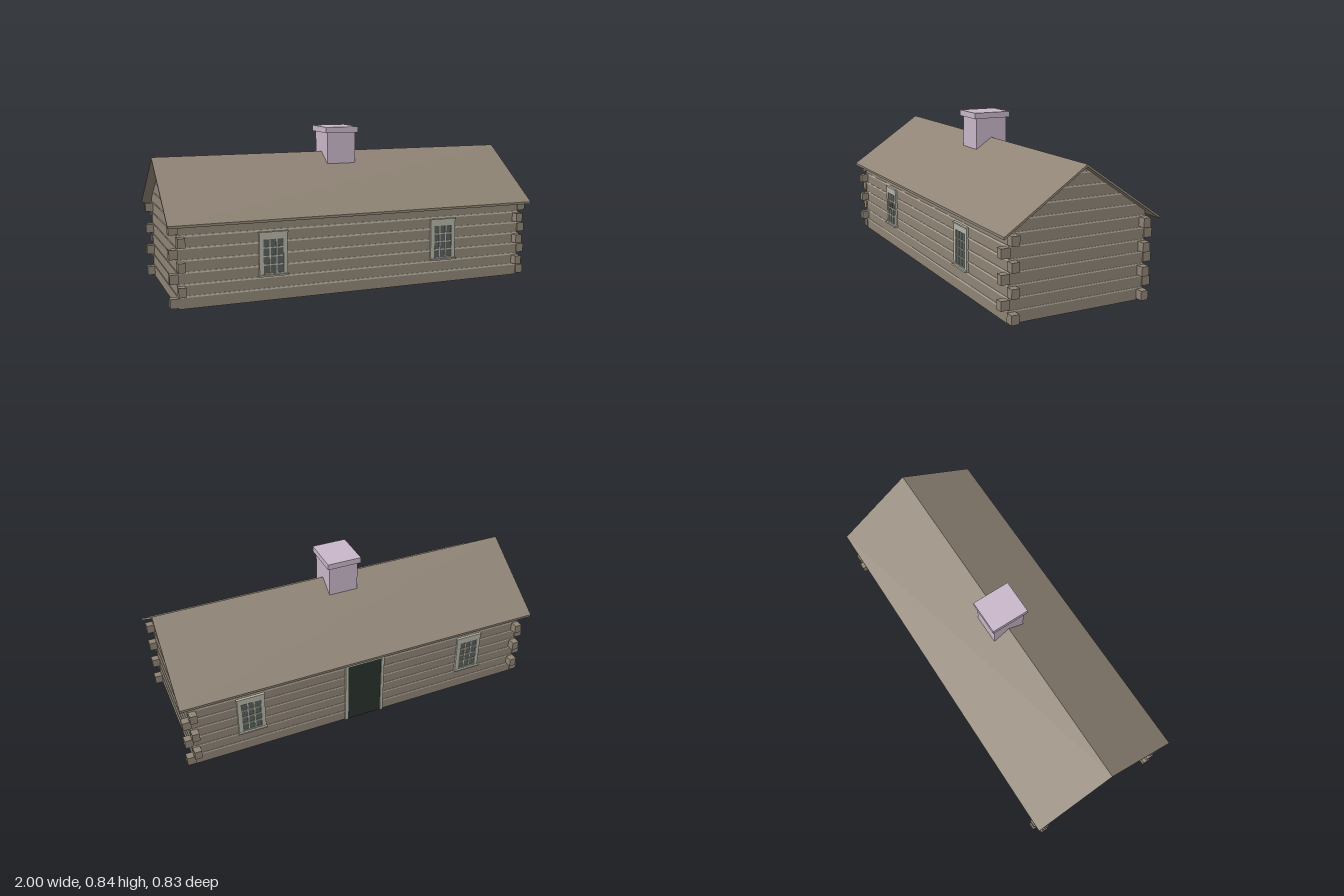
import * as THREE from 'three';

const mat = (name, color, side = THREE.FrontSide) => {
  const m = new THREE.MeshStandardMaterial({ color, side });
  m.name = name;
  return m;
};

export function createModel() {
  const model = new THREE.Group();
  model.name = 'logCabin';
  const wood = mat('weatheredWood', 0x8f8475, THREE.DoubleSide);
  const chink = mat('paleChinking', 0xbfb8aa);
  const trim = mat('greyTrim', 0xb5b4a7);
  const glass = mat('darkGlass', 0x59605c);
  const doorPaint = mat('darkGreenDoor', 0x29332c);
  const masonry = mat('mauveMasonry', 0xc9b7c9);

  const HX = 0.95, HZ = 0.367;              // wall planes
  const APEX = 0.688, SLOPE = 0.676;        // underside of the roof
  const PITCH = 0.0595;                     // log course height
  const eaveY = APEX - SLOPE * HZ;

  const add = (parent, name, geo, material, x = 0, y = 0, z = 0) => {
    const m = new THREE.Mesh(geo, material);
    m.name = name;
    m.position.set(x, y, z);
    parent.add(m);
    return m;
  };
  // box given by its limits on each axis
  const box = (parent, name, material, x0, x1, y0, y1, z0, z1) =>
    add(parent, name, new THREE.BoxGeometry(x1 - x0, y1 - y0, z1 - z0), material,
      (x0 + x1) / 2, (y0 + y1) / 2, (z0 + z1) / 2);
  const polygon = pts => new THREE.Shape(pts.map(p => new THREE.Vector2(...p)));

  // Each wall group is built facing +z, then turned into place
  const sideWall = (name, turn) => {
    const g = new THREE.Group();
    g.name = name;
    g.rotation.y = turn;
    model.add(g);
    return g;
  };

  // Window, standing on a wall that faces +z
  const addWindow = (wall, x) => {
    const w = new THREE.Group();
    w.name = 'window';
    w.position.set(x, 0, HZ);
    wall.add(w);
    const gx = 0.052, g0 = 0.14, g1 = 0.313;
    const frame = polygon([[-0.073, 0.132], [0.073, 0.132], [0.073, 0.345], [-0.073, 0.345]]);
    frame.holes.push(polygon([[-gx, g0], [-gx, g1], [gx, g1], [gx, g0]]));
    add(w, 'windowFrame', new THREE.ExtrudeGeometry(frame, { depth: 0.011, bevelEnabled: false }), trim);
    box(w, 'windowGlass', glass, -gx, gx, g0, g1, 0, 0.006);
    for (let i = 1; i < 3; i++) {
      const c = -gx + 2 * gx * i / 3;
      box(w, 'verticalBar', trim, c - 0.003, c + 0.003, g0, g1, 0.001, 0.009);
    }
    for (let i = 1; i < 4; i++) {
      const c = g0 + (g1 - g0) * i / 4;
      box(w, 'crossBar', trim, -gx, gx, c - 0.003, c + 0.003, 0.001, 0.009);
    }
    box(w, 'windowSill', trim, -0.077, 0.077, 0.126, 0.134, 0, 0.021);
    box(w, 'windowHead', trim, -0.076, 0.076, 0.343, 0.35, 0, 0.014);
  };

  // Long walls with chinking and windows
  const front = sideWall('frontWall', 0);
  const back = sideWall('backWall', Math.PI);
  for (const wall of [front, back]) {
    add(wall, 'longWallLogs', new THREE.PlaneGeometry(2 * HX, eaveY), wood, 0, eaveY / 2, HZ);
    for (let i = 1; i <= 7; i++) {
      const y = i * PITCH;
      box(wall, 'chinkingStrip', chink, -HX, HX, y - 0.0045, y + 0.0045, HZ, HZ + 0.002);
    }
    const spread = wall === front ? 0.475 : 0.635;
    for (const s of [-1, 1]) addWindow(wall, s * spread);
  }

  // Door in the back wall
  const door = new THREE.Group();
  door.name = 'door';
  door.position.z = HZ;
  back.add(door);
  box(door, 'doorPanel', doorPaint, -0.097, 0.097, 0.003, 0.368, 0, 0.006);
  for (const s of [-1, 1])
    box(door, 'doorJamb', trim, s * 0.104 - 0.008, s * 0.104 + 0.008, 0.003, 0.378, 0, 0.011);
  box(door, 'doorLintel', trim, -0.112, 0.112, 0.366, 0.38, 0, 0.011);
  box(door, 'doorHead', trim, -0.115, 0.115, 0.378, 0.385, 0, 0.018);

  // Gable end walls
  const half = y => Math.min(HZ, (APEX - y) / SLOPE);
  for (const s of [-1, 1]) {
    const wall = sideWall(s > 0 ? 'leftGableWall' : 'rightGableWall', s * Math.PI / 2);
    add(wall, 'gableLogs', new THREE.ShapeGeometry(polygon(
      [[-HZ, 0], [HZ, 0], [HZ, eaveY], [0, APEX], [-HZ, eaveY]])), wood, 0, 0, HX);
    for (let i = 1; i <= 11; i++) {
      const a = i * PITCH - 0.0035, b = a + 0.007;
      const strip = polygon([[-half(a), a], [half(a), a], [half(b), b], [-half(b), b]]);
      add(wall, 'chinkingStrip',
        new THREE.ExtrudeGeometry(strip, { depth: 0.002, bevelEnabled: false }), chink, 0, 0, HX);
    }
  }

  // Crossed log ends: long-wall logs on even courses, gable logs on odd ones
  const ends = new THREE.Group();
  ends.name = 'logEnds';
  model.add(ends);
  for (let row = 0; row < 7; row++) {
    const y = 0.0315 + row * 0.0598;
    for (const sx of [-1, 1]) for (const sz of [-1, 1]) {
      if (row % 2 === 0)
        add(ends, 'longWallLogEnd', new THREE.BoxGeometry(0.044, 0.047, 0.04), wood, sx * 0.968, y, sz * 0.353);
      else
        add(ends, 'gableLogEnd', new THREE.BoxGeometry(0.038, 0.047, 0.046), wood, sx * 0.936, y, sz * 0.385);
    }
  }

  // Pitched roof
  const E = 0.417, top = 0.7;
  const section = polygon([[-E, APEX - SLOPE * E], [0, APEX], [E, APEX - SLOPE * E],
    [E, top - SLOPE * E], [0, top], [-E, top - SLOPE * E]]);
  const roofGeo = new THREE.ExtrudeGeometry(section, { depth: 2, bevelEnabled: false });
  roofGeo.translate(0, 0, -1).rotateY(Math.PI / 2);
  add(model, 'roof', roofGeo, wood);

  // Chimney running from the ground through the ridge
  const chimney = new THREE.Group();
  chimney.name = 'chimney';
  model.add(chimney);
  box(chimney, 'chimneyStack', masonry, -0.08, 0.08, 0, 0.806, -0.09, 0.09);
  box(chimney, 'chimneyCap', masonry, -0.093, 0.093, 0.805, 0.836, -0.104, 0.104);

  return model;
}
